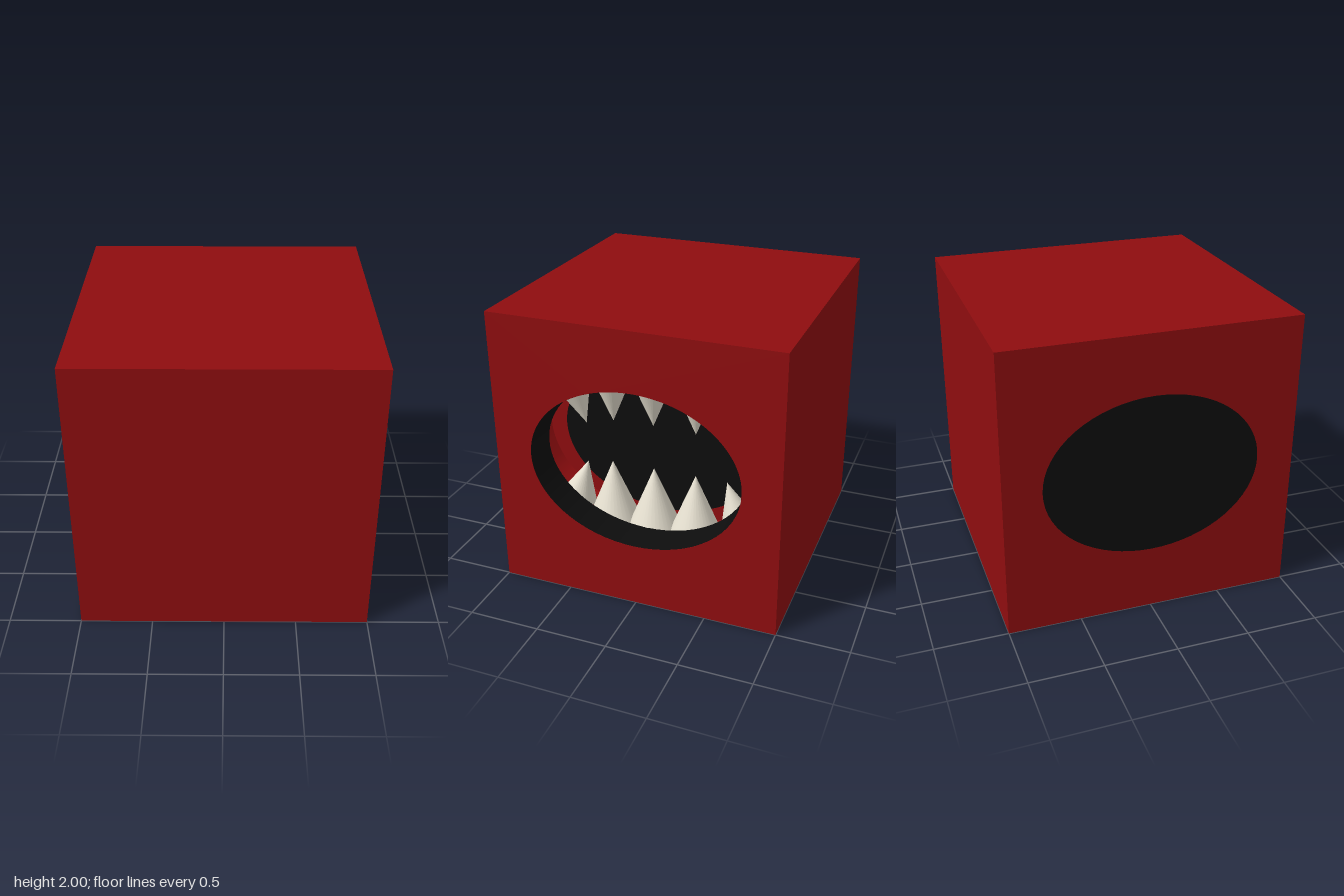
import * as THREE from 'three';

const RY = 0.563, RZ = 0.74, CY = 1.02; // mouth ellipse
const RIM_X = 0.77, BACK_X = 0.47;      // end of the lip, back of the mouth

const red = new THREE.MeshStandardMaterial({ color: 0x8f0d0f });
red.name = 'red';
const gumRed = new THREE.MeshStandardMaterial({ color: 0xa01012, side: THREE.DoubleSide });
gumRed.name = 'gum red';
const black = new THREE.MeshStandardMaterial({ color: 0x0d0d0d, side: THREE.DoubleSide });
black.name = 'black';
const ivory = new THREE.MeshStandardMaterial({ color: 0xe6e0d0 });
ivory.name = 'ivory';

export function createModel() {
  const group = new THREE.Group();
  const add = (name, geometry, material) => {
    const mesh = new THREE.Mesh(geometry, material);
    mesh.name = name;
    group.add(mesh);
    return mesh;
  };

  // square slab from x0 to x1 with an elliptical opening
  const slab = (name, x0, x1, scale) => {
    const shape = new THREE.Shape([[-1, 0], [1, 0], [1, 2], [-1, 2]].map(p => new THREE.Vector2(...p)));
    const hole = new THREE.Path();
    hole.absellipse(0, CY, RZ * scale, RY * scale, 0, Math.PI * 2, true);
    shape.holes.push(hole);
    const geometry = new THREE.ExtrudeGeometry(shape, { depth: x1 - x0, bevelEnabled: false, curveSegments: 64 });
    geometry.rotateY(Math.PI / 2).translate(x0, 0, 0);
    add(name, geometry, red);
  };

  // elliptical cylinder along x
  const tube = (name, x0, x1, s0, s1, open, material) => {
    const geometry = new THREE.CylinderGeometry(s1, s0, x1 - x0, 64, 1, open);
    geometry.rotateZ(-Math.PI / 2).scale(1, RY, RZ).translate((x0 + x1) / 2, CY, 0);
    add(name, geometry, material);
  };

  // cube body, hollowed behind the mouth opening
  const body = new THREE.BoxGeometry(1 + BACK_X, 2, 2);
  body.translate((BACK_X - 1) / 2, 1, 0);
  add('body', body, red);
  slab('cavitySlab', BACK_X, RIM_X, 1.18);
  slab('mouthPanel', RIM_X, 1, 1);

  // dark lip, gum lining and throat; the throat also shows on the far side
  tube('lip', RIM_X, 0.9995, 0.98, 1, true, black);
  tube('gumLining', BACK_X, RIM_X, 1.17, 1.17, true, gumRed);
  tube('throat', -1.002, BACK_X + 0.004, 1, 1, false, black);

  // teeth: z and y of each tip, the outer ones lean outwards
  const cone = new THREE.ConeGeometry(0.205, 0.5, 32);
  cone.translate(0, -0.25, 0);
  const rows = [
    { name: 'upperTooth', up: 1, tips: [[0.51, 1.12], [0.305, 1.17], [0.01, 1.18], [-0.295, 1.17], [-0.49, 1.13]] },
    { name: 'lowerTooth', up: -1, tips: [[0.51, 0.82], [0.32, 0.855], [0.01, 0.855], [-0.295, 0.855], [-0.52, 0.85]] },
  ];
  for (const { name, up, tips } of rows) {
    for (const [z, y] of tips) {
      const tooth = add(name, cone, ivory);
      tooth.position.set(0.615, y, z);
      const lean = Math.abs(z) > 0.4 ? 0.3 * Math.sign(z) : 0;
      tooth.rotation.x = (up > 0 ? Math.PI : 0) + up * lean;
    }
  }
  return group;
}
